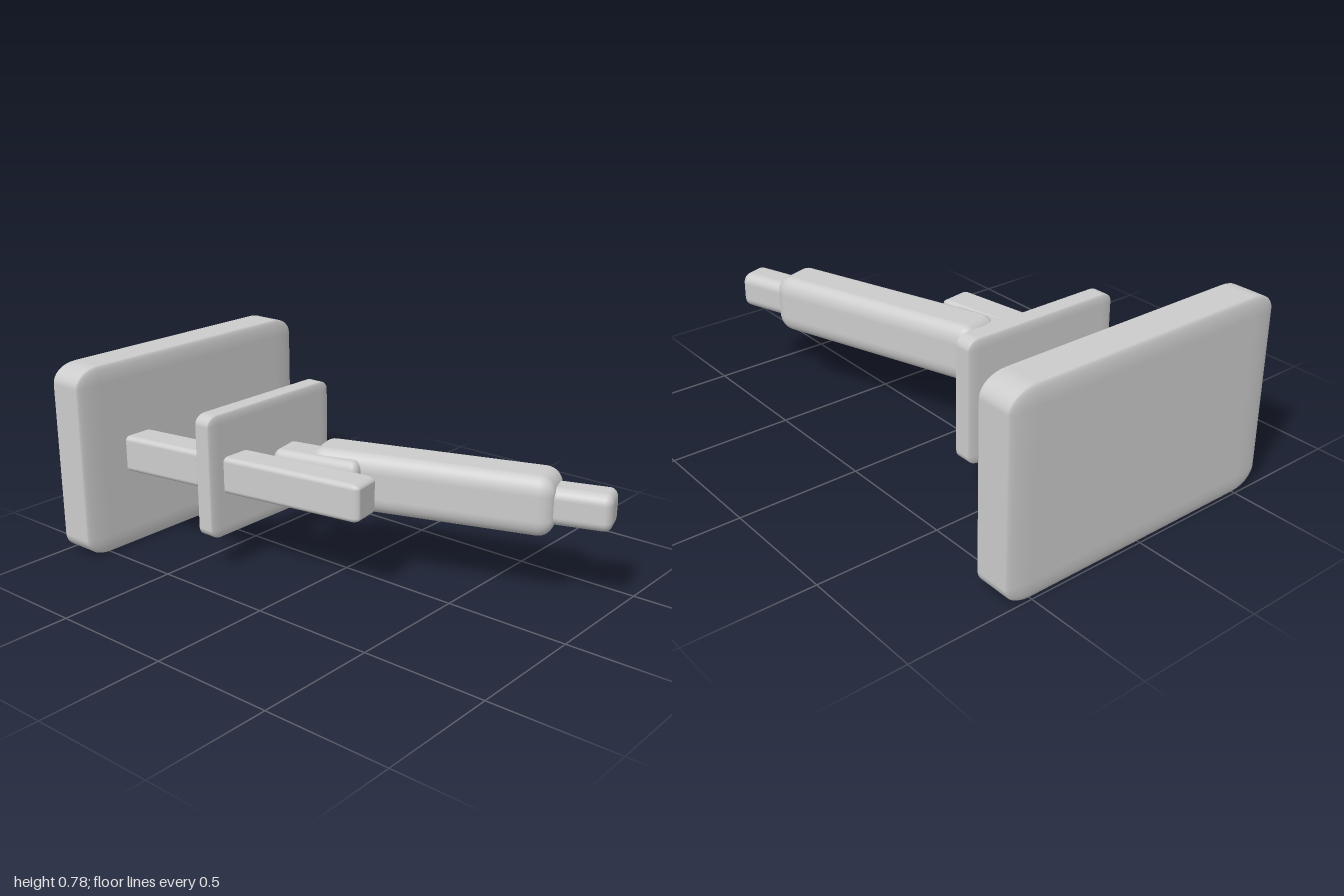
import * as THREE from 'three';
import { RoundedBoxGeometry } from 'three/addons/geometries/RoundedBoxGeometry.js';

const material = new THREE.MeshStandardMaterial({ color: 0xcccccc });

// Box whose edges are rounded by a different amount along each axis
function softBox(name, size, round, position, turn = 0) {
  const [w, h, d] = size;
  const [rx, ry, rz] = round;
  const geometry = new RoundedBoxGeometry(w / rx, h / ry, d / rz, 5, 1);
  geometry.scale(rx, ry, rz);
  const mesh = new THREE.Mesh(geometry, material);
  mesh.name = name;
  mesh.position.set(...position);
  mesh.rotation.y = turn;
  return mesh;
}

export function createModel() {
  const model = new THREE.Group();
  model.name = 'plateWithArms';

  // Upright plates
  model.add(softBox('backPlate', [1.215, 0.785, 0.165], [0.11, 0.075, 0.016], [-0.002, 0.3925, -0.9175]));
  model.add(softBox('middlePlate', [0.69, 0.5, 0.08], [0.05, 0.04, 0.009], [-0.045, 0.395, -0.392]));

  // Straight bar running from the back plate through the middle plate
  model.add(softBox('bar', [0.138, 0.15, 1.13], [0.02, 0.02, 0.035], [-0.244, 0.395, -0.325], 0.15));

  // Thick arm with its grip, tip and rear joint
  const angle = 0.32;
  const centre = [0.121, 0.395, 0.325];
  const along = (t) => [centre[0] + Math.sin(angle) * t, centre[1], centre[2] + Math.cos(angle) * t];
  const arm = new THREE.Group();
  arm.name = 'arm';
  arm.add(softBox('armSleeve', [0.204, 0.235, 0.965], [0.05, 0.07, 0.065], centre, angle));
  arm.add(softBox('armTip', [0.138, 0.146, 0.34], [0.04, 0.04, 0.03], along(0.52), angle));
  arm.add(softBox('rearJoint', [0.155, 0.19, 0.37], [0.03, 0.045, 0.03], [-0.057, 0.395, -0.074], 0.21));
  model.add(arm);

  return model;
}
